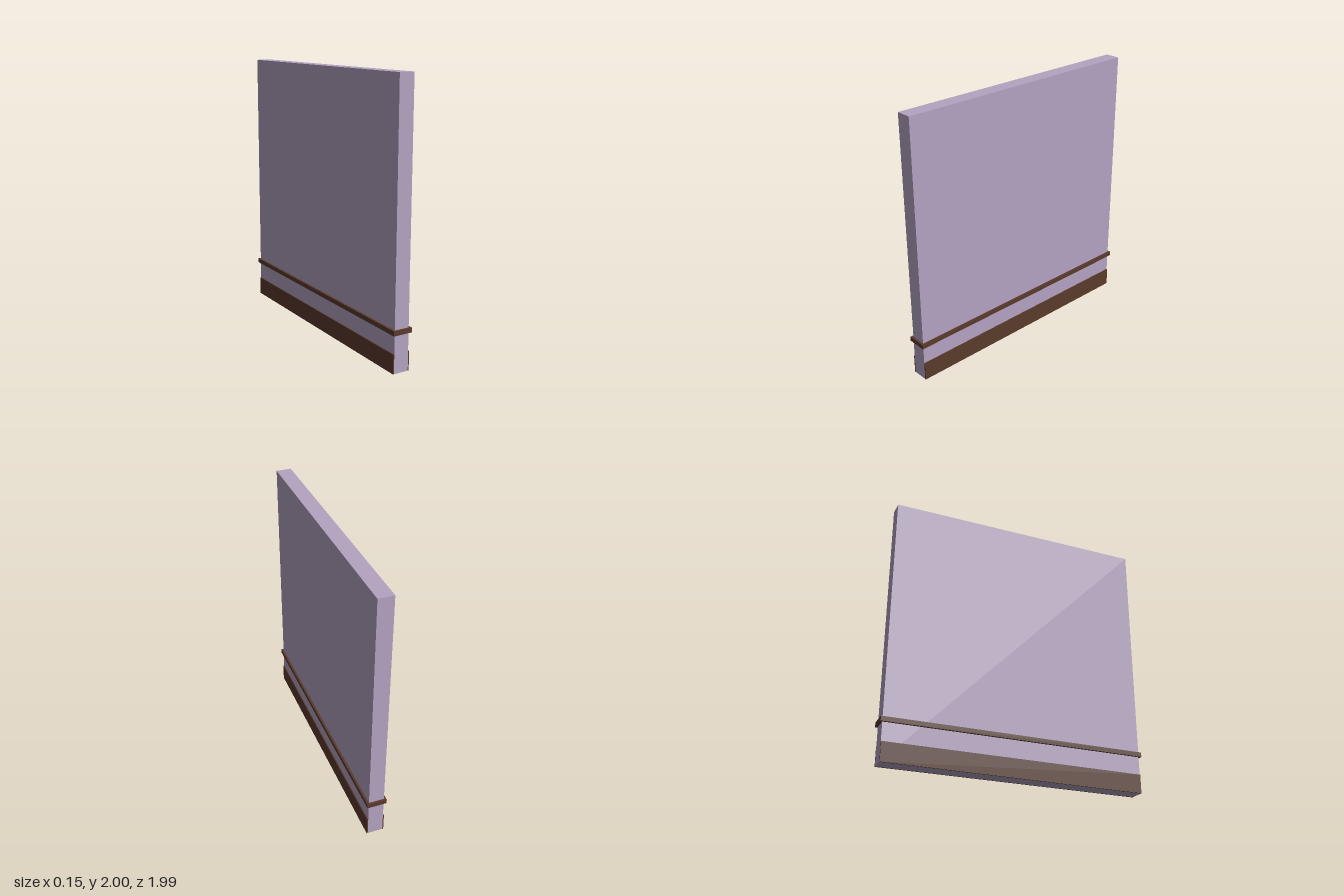
import * as THREE from 'three';

export function createModel() {
  const group = new THREE.Group();
  const lilac = new THREE.MeshStandardMaterial({ color: 0xb3a3c1 });
  lilac.name = 'lilac paint';
  const brown = new THREE.MeshStandardMaterial({ color: 0x5a3a2c });
  brown.name = 'dark brown wood';

  const box = (name, material, w, h, d, x, bottom) => {
    const mesh = new THREE.Mesh(new THREE.BoxGeometry(w, h, d), material);
    mesh.name = name;
    mesh.position.set(x, bottom + h / 2, 0);
    group.add(mesh);
  };

  const wallWidth = 0.114, length = 1.96, boardThickness = 0.008;

  // Wall slab
  box('wall', lilac, wallWidth, 2, length, 0, 0);

  // Rail wrapping all the way round the wall
  box('chairRail', brown, 0.146, 0.034, 1.99, 0, 0.276);

  // Skirting board on each face, flush with the wall ends
  for (const side of [1, -1]) {
    box(side > 0 ? 'leftSkirting' : 'rightSkirting', brown,
      boardThickness, 0.14, length, side * (wallWidth + boardThickness) / 2, 0);
  }
  return group;
}
